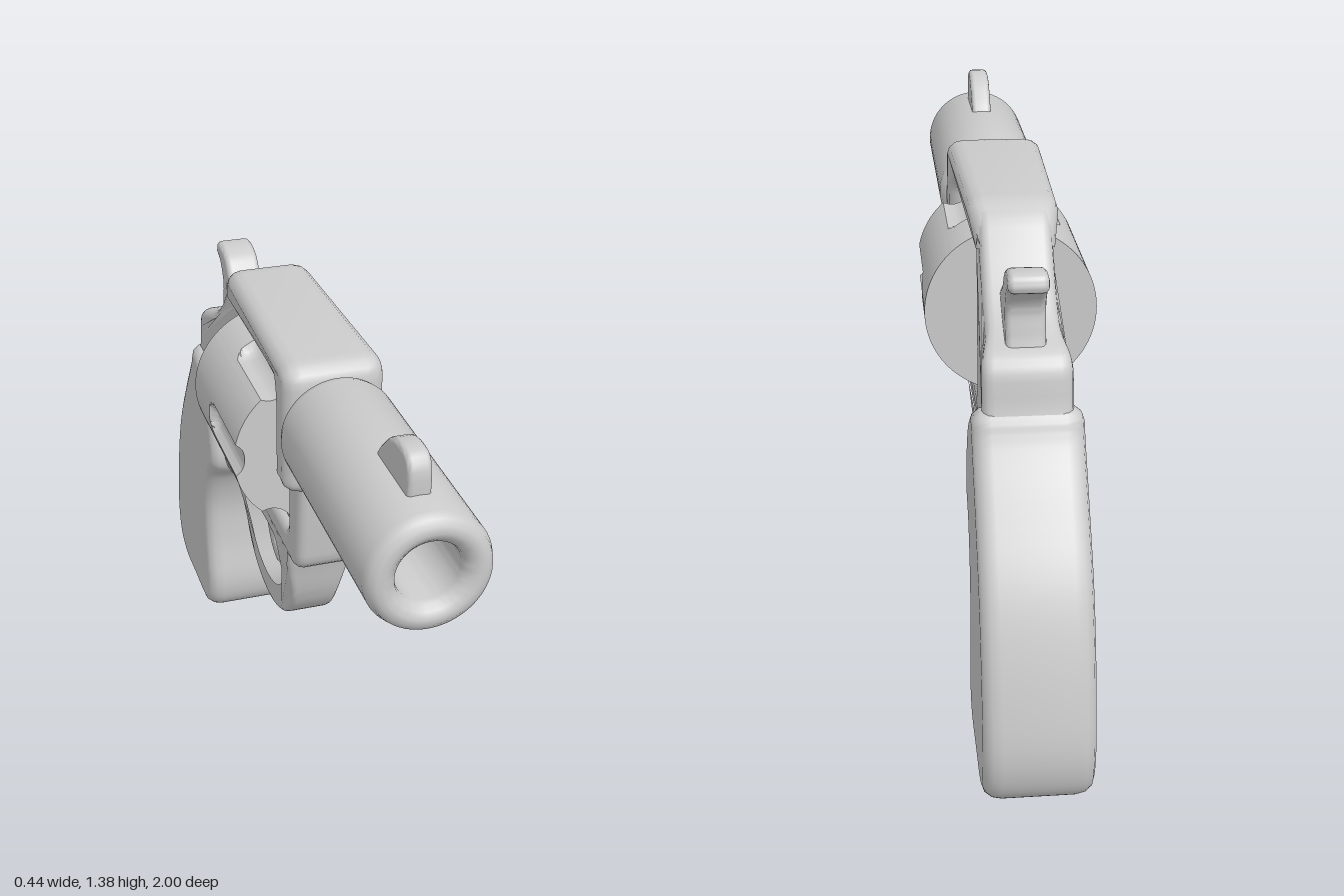
import * as THREE from 'three';
import { toCreasedNormals } from 'three/addons/utils/BufferGeometryUtils.js';

const material = new THREE.MeshStandardMaterial({ color: 0xcccccc });
const { smoothstep } = THREE.MathUtils;

function add(group, name, geometry) {
  const mesh = new THREE.Mesh(geometry, material);
  mesh.name = name;
  group.add(mesh);
  return mesh;
}

// Smooth closed outline through [z, y] points
function smooth(points, n = 72) {
  const curve = new THREE.CatmullRomCurve3(points.map(([z, y]) => new THREE.Vector3(z, y, 0)), true);
  return curve.getPoints(n).slice(0, -1).map(p => new THREE.Vector2(p.x, p.y));
}

// Closed polygon of [z, y, cornerSize] points with rounded corners
function rounded(points) {
  const out = [];
  points.forEach(([z, y, r = 0.03], i) => {
    const p = new THREE.Vector2(z, y);
    const ends = [points.at(i - 1), points[(i + 1) % points.length]].map(([a, b]) => {
      const d = new THREE.Vector2(a, b).sub(p);
      return p.clone().addScaledVector(d.clone().normalize(), Math.min(r, d.length() * 0.45));
    });
    out.push(...new THREE.QuadraticBezierCurve(ends[0], p, ends[1]).getPoints(5));
  });
  return out;
}

// Side profile extruded across x with a soft bevel; flare(y, z) scales its width
function plate(outline, halfWidth, bevel, { holes = [], flare, bevelDepth = bevel } = {}) {
  const shape = new THREE.Shape(outline);
  shape.holes = holes.map(h => new THREE.Path(h));
  const geo = new THREE.ExtrudeGeometry(shape, {
    depth: 2 * (halfWidth - bevelDepth), bevelThickness: bevelDepth,
    bevelSize: bevel, bevelOffset: -bevel, bevelSegments: 3,
  });
  geo.translate(0, 0, bevelDepth - halfWidth).rotateY(-Math.PI / 2);
  const pos = geo.attributes.position;
  if (flare) {
    for (let i = 0; i < pos.count; i++) pos.setX(i, pos.getX(i) * flare(pos.getY(i), pos.getZ(i)));
  }
  geo.computeVertexNormals();
  const flat = geo.attributes.normal.clone();
  const result = toCreasedNormals(geo, 0.75);
  // the flat sides keep their own normals
  const { start, count } = result.groups[0];
  for (let i = start; i < start + count; i++) {
    result.attributes.normal.setXYZ(i, flat.getX(i), flat.getY(i), flat.getZ(i));
  }
  return result;
}

// Drum with six round-ended flutes open to the front
function drumGeometry() {
  const R = 0.22, length = 0.42, fluteWidth = 0.043, fluteLength = 0.26;
  const geo = new THREE.CylinderGeometry(R, R, length, 240, 42);
  const pos = geo.attributes.position;
  for (let i = 0; i < pos.count; i++) {
    const x = pos.getX(i), z = pos.getZ(i);
    if (Math.hypot(x, z) < R * 0.9) continue;
    const a = Math.atan2(z, x), step = Math.PI / 3;
    const across = R * Math.abs(a - Math.round(a / step) * step);
    const back = Math.max(0, length / 2 - pos.getY(i) - (fluteLength - fluteWidth));
    const d = Math.hypot(across, back) / fluteWidth;
    const k = d < 1 ? 1 - 0.028 * Math.sqrt(1 - d * d) / R : 1;
    pos.setX(i, x * k);
    pos.setZ(i, z * k);
  }
  return toCreasedNormals(geo.rotateX(Math.PI / 2), 0.6);
}

// Barrel with rounded rims and a blind bore
function barrelGeometry() {
  const profile = [
    [0, 0.72], [0.076, 0.72], [0.076, 0.965], [0.08, 0.98], [0.092, 0.992], [0.108, 1],
    [0.125, 0.997], [0.139, 0.987], [0.147, 0.965], [0.147, 0.36], [0.143, 0.343], [0.13, 0.33], [0, 0.33],
  ].reverse().map(([r, z]) => new THREE.Vector2(r, z));
  return toCreasedNormals(new THREE.LatheGeometry(profile, 64).rotateX(Math.PI / 2), 0.7);
}

export function createModel() {
  const model = new THREE.Group();
  model.name = 'revolver';

  // Frame with the drum window
  const frame = rounded([
    [0.325, 1.0], [0.325, 1.305, 0.05], [-0.32, 1.305, 0.06], [-0.45, 1.145, 0.06], [-0.54, 1.075, 0.06],
    [-0.665, 1.035, 0.05], [-0.68, 0.9, 0.05], [-0.74, 0.78], [-0.66, 0.6], [-0.37, 0.6, 0.06],
    [-0.27, 0.7, 0.04], [0.3, 0.7, 0.06],
  ]);
  const window_ = rounded([[0.21, 0.785, 0.04], [0.21, 1.212, 0.04], [-0.26, 1.212, 0.05], [-0.26, 0.785, 0.04]]);
  add(model, 'frame', plate(frame, 0.09, 0.025, {
    holes: [window_], flare: (y, z) => 1 + 0.2 * smoothstep(-z, 0.52, 0.66),
  }));

  // Wider top strap and front pillar
  const strap = rounded([
    [0.33, 0.96, 0.04], [0.33, 1.31, 0.06], [-0.31, 1.31, 0.06], [-0.4, 1.205, 0.03],
    [0.21, 1.205, 0.03], [0.21, 0.96, 0.03],
  ]);
  add(model, 'topStrap', plate(strap, 0.113, 0.035, {
    bevelDepth: 0.04,
    flare: (y, z) => 1 + 0.14 * smoothstep(z, 0.15, 0.28) - 0.2 * smoothstep(-z, 0.26, 0.4),
  }));

  // Barrel and front sight
  add(model, 'barrel', barrelGeometry()).position.y = 1.142;
  const sight = rounded([
    [0.9, 1.22], [0.905, 1.382, 0.06], [0.79, 1.382, 0.05], [0.7, 1.295, 0.04], [0.67, 1.22],
  ]);
  add(model, 'frontSight', plate(sight, 0.028, 0.012));

  // Drum on its axle
  add(model, 'drum', drumGeometry()).position.set(0, 1, -0.03);
  const axle = new THREE.CylinderGeometry(0.055, 0.055, 0.5, 32).rotateX(Math.PI / 2);
  add(model, 'axle', axle).position.set(0, 1.015, -0.025);

  // Trigger guard, widening where it meets the frame
  const guard = smooth([
    [0.21, 0.74], [0.2, 0.63], [0.155, 0.5], [0.05, 0.41], [-0.09, 0.38], [-0.22, 0.41], [-0.3, 0.475],
    [-0.335, 0.555], [-0.38, 0.593], [-0.46, 0.6], [-0.47, 0.72], [-0.3, 0.75], [0, 0.75],
  ], 96);
  const guardHole = smooth([
    [0.09, 0.695], [0.12, 0.65], [0.105, 0.55], [0.03, 0.47], [-0.09, 0.44], [-0.21, 0.47],
    [-0.28, 0.55], [-0.285, 0.62], [-0.24, 0.69], [-0.08, 0.7],
  ]);
  add(model, 'triggerGuard', plate(guard, 0.064, 0.015, {
    holes: [guardHole], flare: y => 1 + 0.37 * smoothstep(y, 0.5, 0.69),
  }));

  // Trigger
  add(model, 'trigger', plate(smooth([
    [-0.11, 0.75], [-0.12, 0.64], [-0.095, 0.56], [-0.05, 0.54], [-0.042, 0.51], [-0.07, 0.495],
    [-0.13, 0.515], [-0.18, 0.58], [-0.2, 0.66], [-0.24, 0.75],
  ]), 0.04, 0.014));

  // Hammer with a curved spur
  add(model, 'hammer', plate(smooth([
    [-0.42, 1.08], [-0.45, 1.135], [-0.52, 1.18], [-0.565, 1.226], [-0.62, 1.242], [-0.662, 1.236],
    [-0.67, 1.205], [-0.635, 1.186], [-0.605, 1.14], [-0.61, 1.08], [-0.62, 1.0], [-0.5, 0.98],
  ]), 0.048, 0.015));

  // Grip
  add(model, 'grip', plate(smooth([
    [-0.665, 0.915], [-0.61, 0.905], [-0.53, 0.85], [-0.465, 0.75], [-0.44, 0.61], [-0.5, 0.54],
    [-0.54, 0.42], [-0.54, 0.28], [-0.52, 0.12], [-0.54, 0.045], [-0.6, 0.004], [-0.74, 0],
    [-0.88, 0.004], [-0.965, 0.05], [-1, 0.15], [-0.98, 0.33], [-0.91, 0.55], [-0.8, 0.73],
    [-0.71, 0.86], [-0.69, 0.9],
  ], 110), 0.133, 0.035, { bevelDepth: 0.045 }));

  return model;
}
